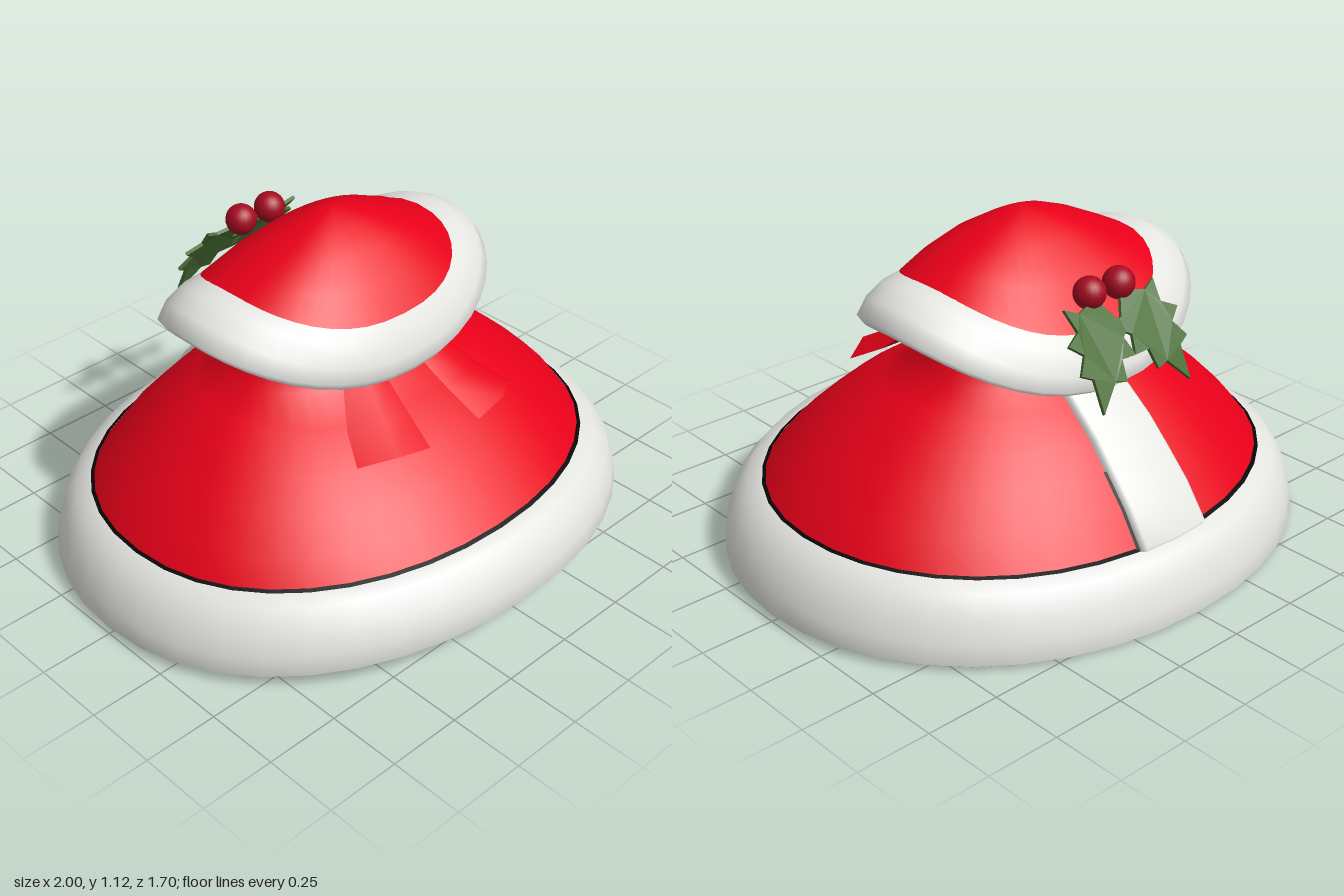
import * as THREE from 'three';
import { mergeVertices, toCreasedNormals } from 'three/addons/utils/BufferGeometryUtils.js';

const mat = (name, color, side = THREE.DoubleSide) => {
  const m = new THREE.MeshStandardMaterial({ color, side });
  m.name = name;
  return m;
};

// Surface through rows of points, optionally closed around.
function grid(rows, closed) {
  const n = rows[0].length, index = [];
  for (let i = 0; i < rows.length - 1; i++) {
    for (let j = 0; j < (closed ? n : n - 1); j++) {
      const k = (j + 1) % n;
      const a = i * n + j, b = i * n + k, c = a + n, d = b + n;
      index.push(a, b, c, b, d, c);
    }
  }
  const g = new THREE.BufferGeometry();
  g.setAttribute('position', new THREE.Float32BufferAttribute(rows.flat(2), 3));
  g.setIndex(index);
  const merged = mergeVertices(g);
  merged.computeVertexNormals();
  return merged;
}

// Ring: [half width, front z, back z, front y, side y, back y]
function ringPoint([rx, zf, zb, yf, ys, yb], c, s) {
  const y = ys + ((s > 0 ? yf : yb) - ys) * s * s;
  return [rx * c, y, (zf + zb) / 2 + (zf - zb) / 2 * s];
}

// Loft of rounded oval rings.
function loft(rings, power, sides = 40) {
  const soft = v => Math.sign(v) * Math.abs(v) ** power;
  return grid(rings.map(r => Array.from({ length: sides }, (_, j) => {
    const t = j / sides * Math.PI * 2;
    return ringPoint(r, soft(Math.cos(t)), soft(Math.sin(t)));
  })), true);
}

// Strip following the back of the rings; columns are [share of half width, lift].
function backPatch(rings, columns) {
  return grid(rings.map(r => {
    const w = 0.114 + 0.026 * Math.max(0, (r[0] - 0.36) / 0.51);
    return columns.map(([u, lift]) => {
      const c = u * w / r[0];
      const [x, y, z] = ringPoint(r, c, -Math.sqrt(1 - c * c));
      return [x, y + (r[0] < 0.4 ? 0 : lift * 0.6), z - lift];
    });
  }), false);
}

const capeRings = [
  [0.36, 0.19, -0.29, 0.93, 0.80, 0.90],
  [0.37, 0.20, -0.30, 0.76, 0.74, 0.76],
  [0.40, 0.22, -0.32, 0.64, 0.645, 0.64],
  [0.50, 0.35, -0.40, 0.575, 0.59, 0.58],
  [0.60, 0.48, -0.49, 0.495, 0.52, 0.505],
  [0.70, 0.57, -0.565, 0.42, 0.435, 0.425],
  [0.80, 0.655, -0.65, 0.345, 0.335, 0.33],
  [0.866, 0.715, -0.725, 0.28, 0.245, 0.22],
];
const hemRings = [
  [0.872, 0.723, -0.733, 0.284, 0.249, 0.224],
  [0.92, 0.77, -0.78, 0.272, 0.225, 0.205],
  [0.965, 0.82, -0.82, 0.22, 0.16, 0.145],
  [0.99, 0.845, -0.84, 0.15, 0.09, 0.07],
  [1.00, 0.85, -0.85, 0.085, 0.025, 0.01],
  [0.985, 0.835, -0.835, 0.072, 0.012, 0.0],
];
const hemUndersideRings = [
  hemRings[5],
  [0.94, 0.79, -0.79, 0.09, 0.04, 0.025],
  [0.81, 0.66, -0.67, 0.225, 0.19, 0.17],
];
// Thin dark seams where cloth meets trim
const seamRings = [[0.861, 0.709, -0.719, 0.289, 0.254, 0.229], hemRings[0]];
const innerSeamRings = [hemUndersideRings[2], [0.805, 0.655, -0.665, 0.237, 0.202, 0.182]];
const neckRings = [
  [0.37, 0.20, -0.30, 0.66, 0.66, 0.66],
  [0.36, 0.22, -0.27, 0.48, 0.48, 0.48],
  [0.36, 0.24, -0.25, 0.32, 0.32, 0.32],
];
const hatRings = [
  [0, -0.04, -0.04, 1.125, 1.125, 1.125],
  [0.12, 0.055, -0.12, 1.085, 1.09, 1.09],
  [0.23, 0.14, -0.21, 1.035, 1.05, 1.04],
  [0.33, 0.22, -0.31, 0.96, 1.005, 0.95],
  [0.41, 0.285, -0.41, 0.872, 0.965, 0.82],
];
const brimRings = [
  hatRings[4],
  [0.48, 0.32, -0.45, 0.822, 0.965, 0.77],
  [0.55, 0.345, -0.48, 0.76, 0.93, 0.705],
  [0.59, 0.348, -0.483, 0.715, 0.88, 0.66],
  [0.57, 0.33, -0.465, 0.687, 0.85, 0.645],
];
const brimUndersideRings = [
  brimRings[4],
  [0.48, 0.285, -0.42, 0.735, 0.855, 0.70],
  [0.36, 0.215, -0.32, 0.86, 0.91, 0.84],
];

export function createModel() {
  const red = mat('red cloth', 0xe80019);
  const white = mat('white trim', 0xe4e4e1);
  const shade = mat('warm grey lining', 0xbfb6aa);
  const green = mat('leaf green', 0x4a7035);
  const berryRed = mat('berry red', 0xa50a20, THREE.FrontSide);
  const dark = mat('dark seam', 0x080505);

  const model = new THREE.Group();
  const add = (name, geometry, material, parent = model) => {
    const mesh = new THREE.Mesh(geometry, material);
    mesh.name = name;
    parent.add(mesh);
    return mesh;
  };

  // Cape, with an inner neck tube, and hat
  add('capeAndCollar', loft(capeRings, 0.95), red);
  add('innerNeck', loft(neckRings, 0.95), red);
  add('capeHem', loft(hemRings, 0.95), white);
  add('hemUnderside', loft(hemUndersideRings, 0.95), shade);
  add('hemSeam', loft(seamRings, 0.95), dark);
  add('innerSeam', loft(innerSeamRings, 0.95), dark);
  add('hatCrown', loft(hatRings, 0.86), red);
  add('hatBrim', loft(brimRings, 0.92), white);
  add('brimUnderside', loft(brimUndersideRings, 0.92), shade);

  // Raised strip down the back, running into the hem
  const stripRings = [...capeRings, [0.87, 0.70, -0.715, 0.24, 0.20, 0.19]];
  add('backStrip', backPatch(stripRings, [[-1, -0.01], [-1, 0.014], [-0.9, 0.022],
    [0, 0.022], [0.9, 0.022], [1, 0.014], [1, -0.01]]), white);
  for (const side of [1, -1]) {
    add('stripSeam', backPatch(capeRings.slice(5),
      [[side, 0.008], [side * 1.06, 0.004]]), dark);
  }

  // Ribbon end, columns: outer edge, crest, inner edge, underside
  const ribbonRows = [
    [[0.19, 0.725, 0.16], [0.13, 0.73, 0.20], [0.07, 0.725, 0.20], [0.12, 0.71, 0.17]],
    [[0.22, 0.67, 0.24], [0.15, 0.685, 0.28], [0.075, 0.675, 0.275], [0.14, 0.65, 0.24]],
    [[0.29, 0.585, 0.33], [0.19, 0.615, 0.39], [0.09, 0.605, 0.385], [0.18, 0.575, 0.35]],
    [[0.345, 0.532, 0.43], [0.235, 0.555, 0.50], [0.11, 0.533, 0.51], [0.23, 0.531, 0.465]],
  ];
  // Closing row seals the lower end
  const end = [0.23, 0.54, 0.48];
  ribbonRows.push([end, end, end, end]);
  const ribbonShape = toCreasedNormals(grid(ribbonRows, true), 0.7);

  // Spiky half outline: lateral offset, distance along the leaf
  const spikes = [[0.02, 0.0], [0.07, 0.04], [0.125, 0.035], [0.085, 0.1], [0.125, 0.15],
    [0.07, 0.17], [0.085, 0.235], [0.04, 0.24]];
  const outline = [...spikes, [0, 0.34],
    ...spikes.slice().reverse().map(([u, v]) => [-u, v])];
  const leafShape = new THREE.ExtrudeGeometry(
    new THREE.Shape(outline.map(p => new THREE.Vector2(...p))),
    { depth: 0.012, bevelEnabled: false });
  // Splay the leaf, lay it along the slope and bow it slightly
  const p = leafShape.attributes.position;
  const ca = Math.cos(0.38), sa = Math.sin(0.38);
  for (let i = 0; i < p.count; i++) {
    const u = p.getX(i), v = p.getY(i);
    const h = p.getZ(i) + 0.6 * v * (0.34 - v);
    const x = u * ca + v * sa, d = v * ca - u * sa;
    p.setXYZ(i, 0.06 + x, 0.915 - 0.84 * d + 0.55 * h, -0.42 - 0.55 * d - 0.84 * h);
  }
  leafShape.computeVertexNormals();

  // Ornaments are built on the left and mirrored
  const berryShape = new THREE.SphereGeometry(0.052, 20, 14);
  for (const side of [1, -1]) {
    const half = new THREE.Group();
    half.name = side > 0 ? 'leftOrnaments' : 'rightOrnaments';
    half.scale.x = side;
    add('ribbonEnd', ribbonShape, red, half);
    add('hollyLeaf', leafShape, green, half);
    add('hollyBerry', berryShape, berryRed, half).position.set(0.062, 0.95, -0.405);
    model.add(half);
  }
  return model;
}
